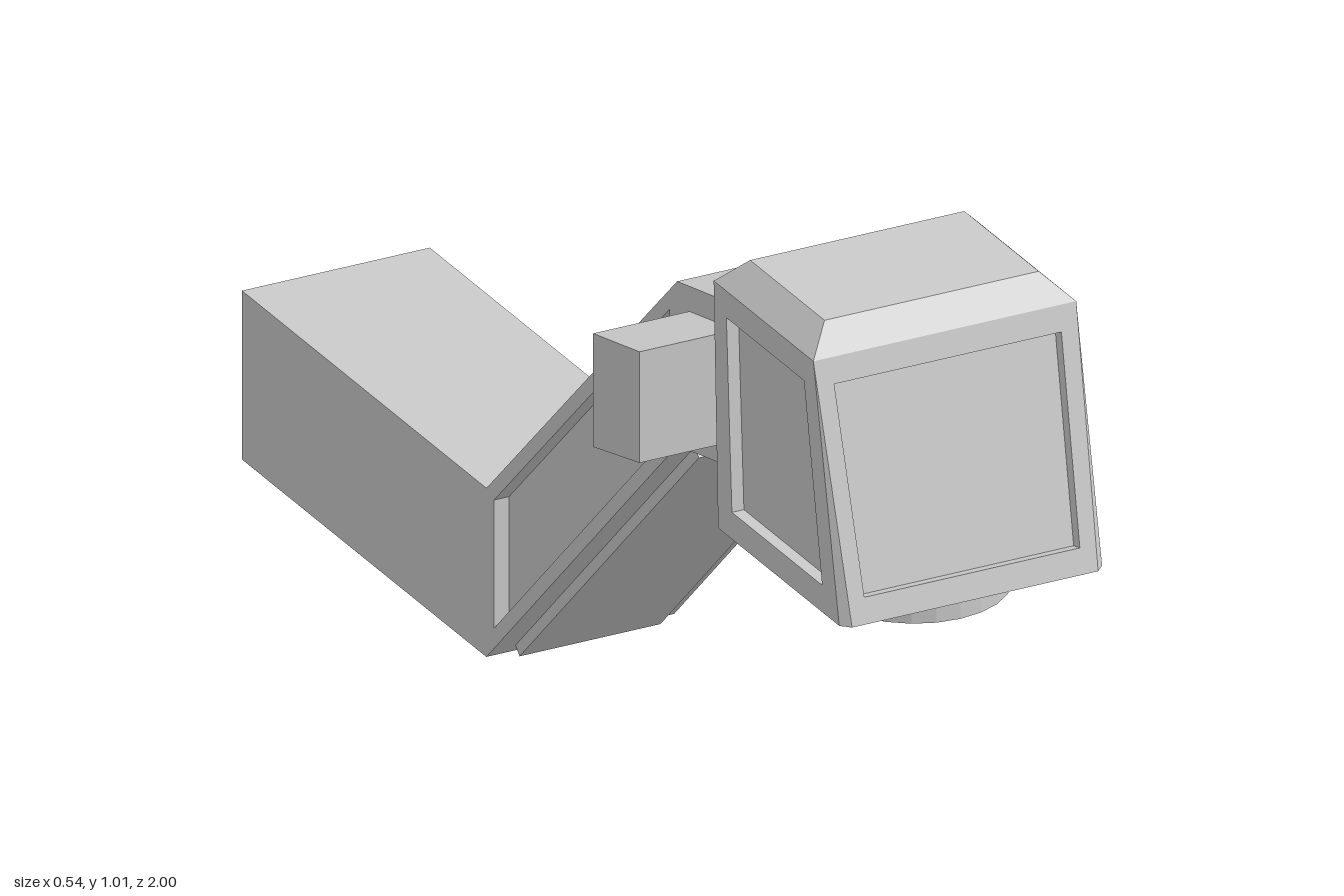
import * as THREE from 'three';

const material = new THREE.MeshStandardMaterial({ color: 0xcccccc, flatShading: true });
const v = (x, y, z) => new THREE.Vector3(x, y, z);

// Collects flat faces into one mesh
class FaceBuilder {
  constructor() { this.points = []; }

  tri(a, b, c) { for (const p of [a, b, c]) this.points.push(p.x, p.y, p.z); }

  quad(a, b, c, d) { this.tri(a, b, c); this.tri(a, c, d); }

  // A face with a sunken (depth > 0) or raised (depth < 0) inner panel;
  // u and w are the border fractions along the first and second edges
  panel(q, u, w, depth) {
    const at = (s, t) => q[0].clone().lerp(q[1], s).lerp(q[3].clone().lerp(q[2], s), t);
    const rim = [at(u, w), at(1 - u, w), at(1 - u, 1 - w), at(u, 1 - w)];
    const normal = q[1].clone().sub(q[0]).cross(q[3].clone().sub(q[0])).normalize();
    const floor = rim.map(p => p.clone().addScaledVector(normal, -depth));
    for (let i = 0; i < 4; i++) {
      const j = (i + 1) % 4;
      this.quad(q[i], q[j], rim[j], rim[i]);
      this.quad(rim[i], rim[j], floor[j], floor[i]);
    }
    this.quad(...floor);
  }

  // Either a plain face or a panelled one
  face(q, inset) { inset ? this.panel(q, ...inset) : this.quad(...q); }

  // Four long sides of a block between two [z, bottom, top] stations
  segment(x0, x1, [z0, b0, t0], [z1, b1, t1], insets = {}) {
    this.face([v(x1, b0, z0), v(x1, t0, z0), v(x1, t1, z1), v(x1, b1, z1)], insets.left);
    this.face([v(x0, b0, z0), v(x0, b1, z1), v(x0, t1, z1), v(x0, t0, z0)], insets.right);
    this.face([v(x0, b0, z0), v(x1, b0, z0), v(x1, b1, z1), v(x0, b1, z1)], insets.bottom);
    this.face([v(x0, t1, z1), v(x1, t1, z1), v(x1, t0, z0), v(x0, t0, z0)], insets.top);
  }

  capBack(x0, x1, [z, b, t]) { this.quad(v(x1, b, z), v(x0, b, z), v(x0, t, z), v(x1, t, z)); }

  capFront(x0, x1, [z, b, t]) { this.quad(v(x0, b, z), v(x1, b, z), v(x1, t, z), v(x0, t, z)); }

  mesh(name) {
    const geometry = new THREE.BufferGeometry();
    geometry.setAttribute('position', new THREE.Float32BufferAttribute(this.points, 3));
    geometry.computeVertexNormals();
    const mesh = new THREE.Mesh(geometry, material);
    mesh.name = name;
    return mesh;
  }
}

// Bent arm: level foot, sloping middle, short neck
function makeArm() {
  const f = new FaceBuilder();
  const x0 = -0.11, x1 = 0.203;
  const stations = [[-1, 0, 0.275], [-0.235, 0, 0.275], [0.362, 0.595, 0.863], [0.595, 0.645, 0.912]];
  const insets = [
    {},
    { right: [0.04, 0.12, 0.025], bottom: [0.125, 0.03, -0.018] },
    { bottom: [0.125, 0.14, 0.03] },
  ];
  for (let i = 0; i < 3; i++) f.segment(x0, x1, stations[i], stations[i + 1], insets[i]);
  f.capBack(x0, x1, stations[0]);
  f.capFront(x0, x1, stations[3]);
  return f.mesh('arm');
}

// Small block on the right side of the neck
function makeSideBlock() {
  const f = new FaceBuilder();
  const back = [0.4, 0.645, 0.83], front = [0.545, 0.68, 0.861];
  f.segment(-0.27, -0.11, back, front, { bottom: [0.06, 0.06, 0.008] });
  f.capBack(-0.27, -0.11, back);
  f.capFront(-0.27, -0.11, front);
  return f.mesh('sideBlock');
}

// Head: sloping front, bevelled top, bottom corners trimmed
function makeHead() {
  const f = new FaceBuilder();
  const x0 = -0.172, x1 = 0.266, c = 0.014;
  const low = 0.578, mid = 0.975, high = 1.015;
  const backZ = 0.593, frontLow = 1, frontMid = 0.905;
  const shoulder = [v(x0, mid, frontMid), v(x1, mid, frontMid), v(x1, mid, backZ), v(x0, mid, backZ)];
  const top = [v(-0.131, high, 0.863), v(0.226, high, 0.863), v(0.226, high, 0.63), v(-0.131, high, 0.63)];
  // Bottom outline: two points at each trimmed corner, same order as the shoulder
  const base = [
    v(x0, low, frontLow - c), v(x0 + c, low, frontLow),
    v(x1 - c, low, frontLow), v(x1, low, frontLow - c),
    v(x1, low, backZ + c), v(x1 - c, low, backZ),
    v(x0 + c, low, backZ), v(x0, low, backZ + c),
  ];
  // Walls in the order front, left, back, right
  const insets = [[0.065, 0.1, 0.02], null, null, [0.12, 0.11, 0.02]];
  for (let i = 0; i < 4; i++) {
    const j = (i + 1) % 4, a = base[2 * i + 1], b = base[(2 * i + 2) % 8];
    f.face([a, b, shoulder[j], shoulder[i]], insets[i]);
    f.tri(base[2 * i], a, shoulder[i]);
    f.quad(shoulder[i], shoulder[j], top[j], top[i]);
  }
  f.quad(...top);
  // Underside with a square socket
  f.panel([base[6], base[5], base[2], base[1]], 0.35, 0.35, 0.05);
  f.quad(base[5], base[4], base[3], base[2]);
  f.quad(base[7], base[6], base[1], base[0]);
  return f.mesh('head');
}

// Open ring below the head
function makeRing() {
  const profile = [[0.108, 0.579], [0.108, 0.545], [0.116, 0.527], [0.143, 0.527], [0.143, 0.579]]
    .map(([r, y]) => new THREE.Vector2(r, y));
  const ring = new THREE.Mesh(new THREE.LatheGeometry(profile, 24), material);
  ring.position.set(0.047, 0, 0.811);
  ring.name = 'lowerRing';
  return ring;
}

export function createModel() {
  const model = new THREE.Group();
  model.name = 'armWithHead';
  model.add(makeArm(), makeSideBlock(), makeHead(), makeRing());
  return model;
}
